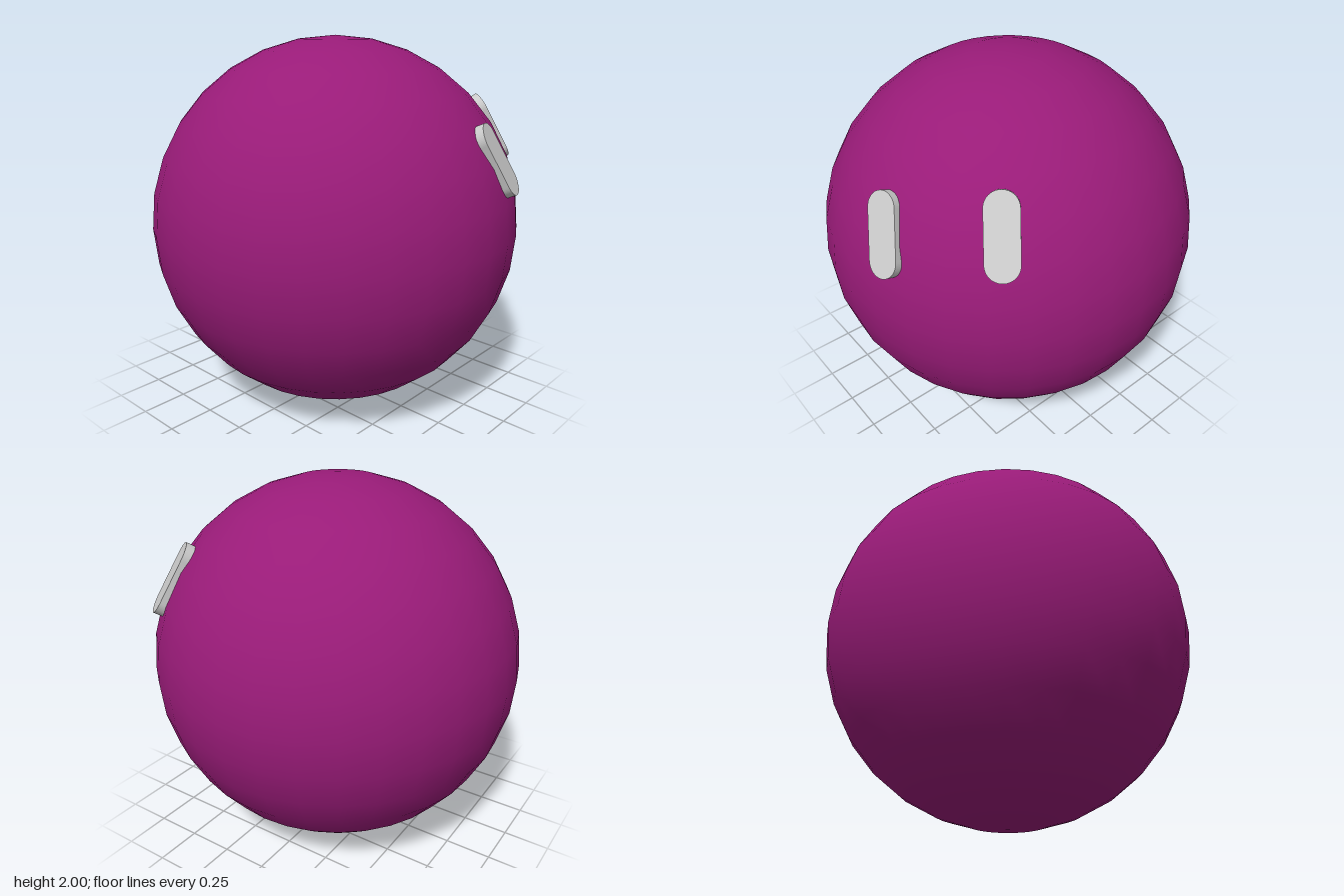
import * as THREE from 'three';

// Pill outline: two half circles joined by straight sides
function pillShape(radius, half) {
  const shape = new THREE.Shape();
  shape.absarc(0, half, radius, 0, Math.PI, false);
  shape.absarc(0, -half, radius, Math.PI, Math.PI * 2, false);
  shape.closePath();
  return shape;
}

export function createModel() {
  const model = new THREE.Group();
  const purple = new THREE.MeshStandardMaterial({ color: 0x991b78 });
  const grey = new THREE.MeshStandardMaterial({ color: 0xcccccc });

  // Round body
  const body = new THREE.Mesh(new THREE.SphereGeometry(1, 32, 16), purple);
  body.name = 'body';
  body.position.y = 1;
  model.add(body);

  // Face frame: looks forward, up and to the left, with a slight roll
  const forward = new THREE.Vector3(0.445, 0.476, 0.759).normalize();
  const up = new THREE.Vector3(-0.4, 0.865, -0.314);
  const side = new THREE.Vector3().crossVectors(up, forward).normalize();
  up.crossVectors(forward, side);
  const face = new THREE.Group();
  face.name = 'face';
  face.position.y = 1;
  face.quaternion.setFromRotationMatrix(new THREE.Matrix4().makeBasis(side, up, forward));
  model.add(face);

  // Two flat pill eyes, sunk into the body and turned outwards
  const eyeGeometry = new THREE.ExtrudeGeometry(pillShape(0.08, 0.12), {
    depth: 0.07, bevelEnabled: false, curveSegments: 16,
  });
  eyeGeometry.translate(0, 0, 0.95);
  for (const [name, sign] of [['rightEye', -1], ['leftEye', 1]]) {
    const eye = new THREE.Mesh(eyeGeometry, grey);
    eye.name = name;
    eye.rotation.y = sign * THREE.MathUtils.degToRad(16);
    face.add(eye);
  }
  return model;
}
